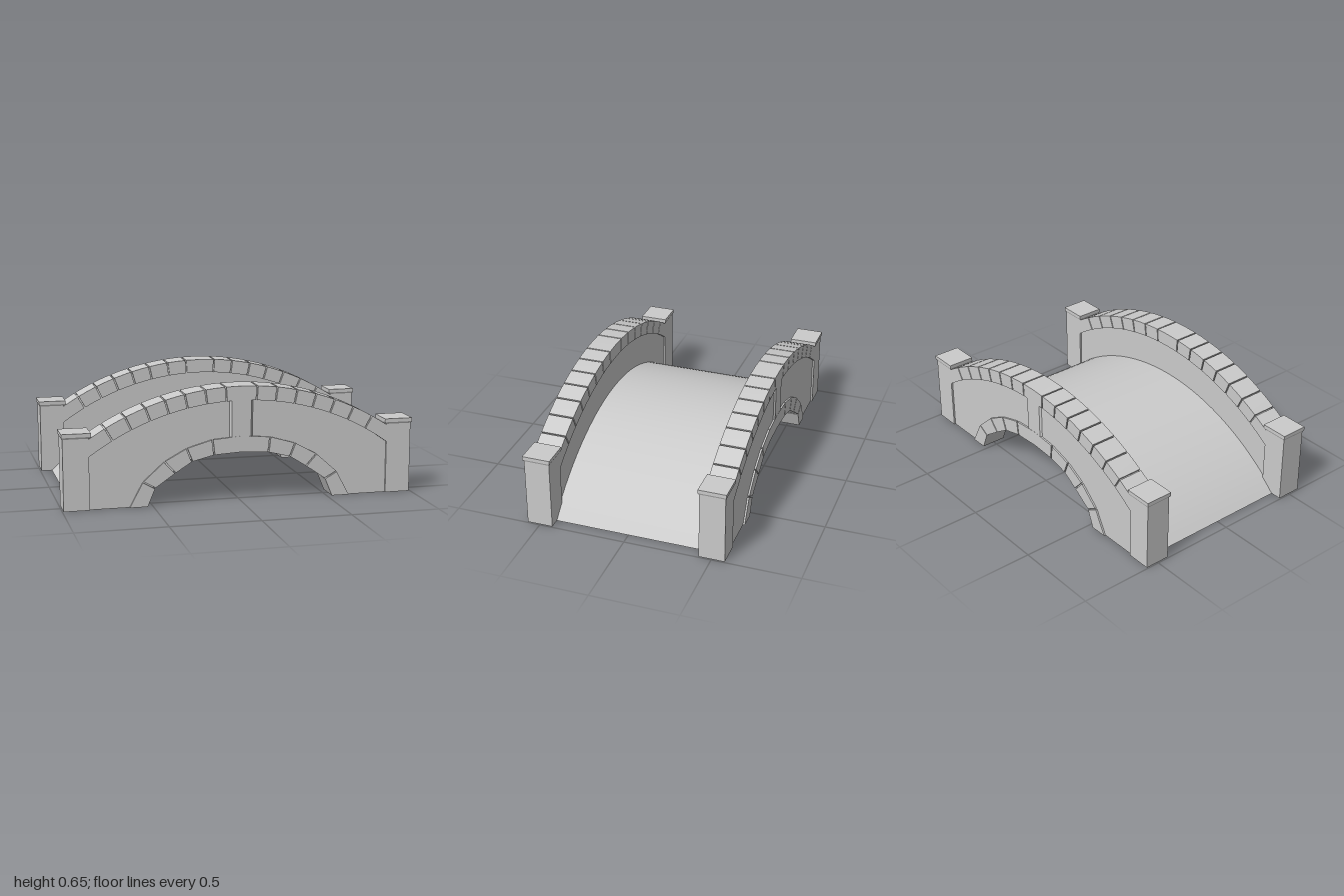
import * as THREE from 'three';
import { toCreasedNormals } from 'three/addons/utils/BufferGeometryUtils.js';

// Shells are open underneath, so both sides show
const material = new THREE.MeshStandardMaterial({ color: 0xcccccc, side: THREE.DoubleSide });
const STONE_DEPTH = 0.147, WALL_DEPTH = 0.127, SIDE_Z = 0.501;
const PIER_X = 0.85;                                  // inner face of the end piers
const COPING_Y = -0.886, R_OUT = 1.536, R_IN = 1.456; // coping arc
const GAP = 0.004;                                    // half a joint
const INSET = 0.012;                                  // depth of the joints

function part(name, geometry, parent) {
  const mesh = new THREE.Mesh(geometry, material);
  mesh.name = name;
  parent.add(mesh);
  return mesh;
}

// Drop the faces that lie on the ground
function openBottom(geometry) {
  const flat = geometry.index ? geometry.toNonIndexed() : geometry;
  const pos = flat.attributes.position;
  const kept = [];
  for (let i = 0; i < pos.count; i += 3) {
    if (Math.max(pos.getY(i), pos.getY(i + 1), pos.getY(i + 2)) > 1e-5) kept.push(i, i + 1, i + 2);
  }
  flat.clearGroups();
  flat.setIndex(kept);
  return flat;
}

// Extrude an [x, y] outline symmetrically about z = 0
function slab(points, depth) {
  const shape = new THREE.Shape(points.map(([x, y]) => new THREE.Vector2(x, y)));
  const geometry = new THREE.ExtrudeGeometry(shape, { depth, bevelEnabled: false });
  geometry.translate(0, 0, -depth / 2);
  return openBottom(toCreasedNormals(geometry, 0.1));
}

// Points on a circle centred on (0, cy), angles measured from straight up
function arc(r, cy, from, to, steps) {
  return Array.from({ length: steps + 1 }, (_, i) => {
    const a = from + (to - from) * i / steps;
    return [r * Math.sin(a), cy + r * Math.cos(a)];
  });
}

// Humped roadway: one smooth thin surface swept along z
function roadway(parent) {
  const span = 0.93, rise = 0.377, steps = 40;
  const r = (span * span + rise * rise) / (2 * rise);
  const a = Math.atan2(span, r - rise);
  const line = arc(r, rise - r, -a, a, steps);
  const geometry = new THREE.PlaneGeometry(1, 2 * SIDE_Z - WALL_DEPTH + 0.01, steps, 1);
  const pos = geometry.attributes.position;
  for (let i = 0; i < pos.count; i++) {
    const [x, y] = line[i % line.length];
    pos.setXYZ(i, x, y, -pos.getY(i));
  }
  geometry.computeVertexNormals();
  part('roadway', geometry, parent);
}

const mirror = (points) => points.map(([x, y]) => [-x, y]);

// Joints of the arch ring, crown to foot
const ringOuter = [[0.165, 0.357], [0.31, 0.315], [0.435, 0.247], [0.555, 0.14], [0.63, 0]];
const ringInner = [[0.155, 0.271], [0.28, 0.24], [0.375, 0.18], [0.488, 0.102], [0.53, 0]];

// Move p towards q by a fixed distance
function toward(p, q, d) {
  const k = d / Math.hypot(q[0] - p[0], q[1] - p[1]);
  return [p[0] + (q[0] - p[0]) * k, p[1] + (q[1] - p[1]) * k];
}

function archRing(parent) {
  const [o, n] = [ringOuter[0], ringInner[0]];
  const [ox, nx] = [o[0] - GAP, n[0] - GAP];
  part('archKeystone', slab([[-ox, o[1]], [0, 0.37], [ox, o[1]], [nx, n[1]], [0, 0.28], [-nx, n[1]]], STONE_DEPTH), parent);
  for (let i = 0; i < ringOuter.length - 1; i++) {
    const [a, b, c, d] = [ringOuter[i], ringOuter[i + 1], ringInner[i + 1], ringInner[i]];
    const foot = i === ringOuter.length - 2 ? 0 : GAP;
    const stone = [toward(a, b, GAP), toward(b, a, foot), toward(c, d, foot), toward(d, c, GAP)];
    part('archStone', slab(stone, STONE_DEPTH), parent);
    part('archStone', slab(mirror(stone), STONE_DEPTH), parent);
  }
}

function coping(parent) {
  const joints = [0.0586, 0.134, 0.21, 0.284, 0.359, 0.437, 0.518];
  const g = GAP / R_OUT;
  const stone = (from, toOut, toIn) => slab([
    ...arc(R_OUT, COPING_Y, from, toOut, 2),
    ...arc(R_IN, COPING_Y, toIn, from, 2)], STONE_DEPTH);
  part('copingCrown', stone(-joints[0] + g, joints[0] - g, joints[0] - g), parent);
  joints.forEach((from, i) => {
    const last = i === joints.length - 1;
    const toOut = last ? Math.asin(PIER_X / R_OUT) : joints[i + 1] - g;
    const toIn = last ? Math.asin(PIER_X / R_IN) : toOut;
    part('copingStone', stone(from + g, toOut, toIn), parent);
    part('copingStone', stone(-from - g, -toOut, -toIn), parent);
  });
}

// Recessed wall that also backs the joints of the ring and coping
function spandrelWall(parent) {
  const r = R_OUT - INSET, a = Math.asin(PIER_X / r);
  const under = ringInner.map(([x, y], i) => y ? toward([x, y], ringOuter[i], INSET) : [x + INSET, 0]);
  part('spandrelWall', slab([
    [-PIER_X, 0], ...arc(r, COPING_Y, -a, a, 28), [PIER_X, 0],
    ...under.slice().reverse(), [0, 0.28 + INSET], ...mirror(under)], WALL_DEPTH), parent);
}

// Box whose vertices are adjusted by a rule
function shapedBox(w, h, d, rule) {
  const geometry = new THREE.BoxGeometry(w, h, d);
  const pos = geometry.attributes.position;
  const v = new THREE.Vector3();
  for (let i = 0; i < pos.count; i++) {
    rule(v.fromBufferAttribute(pos, i));
    pos.setXYZ(i, v.x, v.y, v.z);
  }
  geometry.computeVertexNormals();
  return geometry;
}

// Upright block over the arch crown, chamfered on its sides, outer face only
function crownBlock(parent) {
  const depth = (STONE_DEPTH - WALL_DEPTH) / 2;
  const geometry = shapedBox(0.134, 0.225, depth, (v) => { if (v.z > 0) v.x *= 0.82; });
  part('crownBlock', geometry, parent).position.set(0, 0.467, (STONE_DEPTH - depth) / 2 - 0.001);
}

function endPier(parent, side) {
  const pier = new THREE.Group();
  pier.name = side > 0 ? 'leftPier' : 'rightPier';
  const shaft = new THREE.BoxGeometry(0.143, 0.402, STONE_DEPTH).translate(side * 0.9215, 0.201, 0);
  part('pierShaft', openBottom(shaft), pier);
  // Cap: chamfered lower lip and flat slab
  const lip = shapedBox(0.162, 0.01, 0.16, (v) => { if (v.y < 0) { v.x *= 0.94; v.z *= 0.94; } });
  part('capLip', lip, pier).position.set(side * 0.919, 0.403, 0);
  part('capSlab', new THREE.BoxGeometry(0.162, 0.02, 0.16), pier).position.set(side * 0.919, 0.418, 0);
  parent.add(pier);
}

export function createModel() {
  const bridge = new THREE.Group();
  bridge.name = 'stoneBridge';
  roadway(bridge);

  // Two parapets, the back one turned round
  for (const side of [1, -1]) {
    const parapet = new THREE.Group();
    parapet.name = side > 0 ? 'frontParapet' : 'backParapet';
    parapet.position.z = side * SIDE_Z;
    if (side < 0) parapet.rotation.y = Math.PI;
    spandrelWall(parapet);
    archRing(parapet);
    coping(parapet);
    crownBlock(parapet);
    endPier(parapet, 1);
    endPier(parapet, -1);
    bridge.add(parapet);
  }
  return bridge;
}
